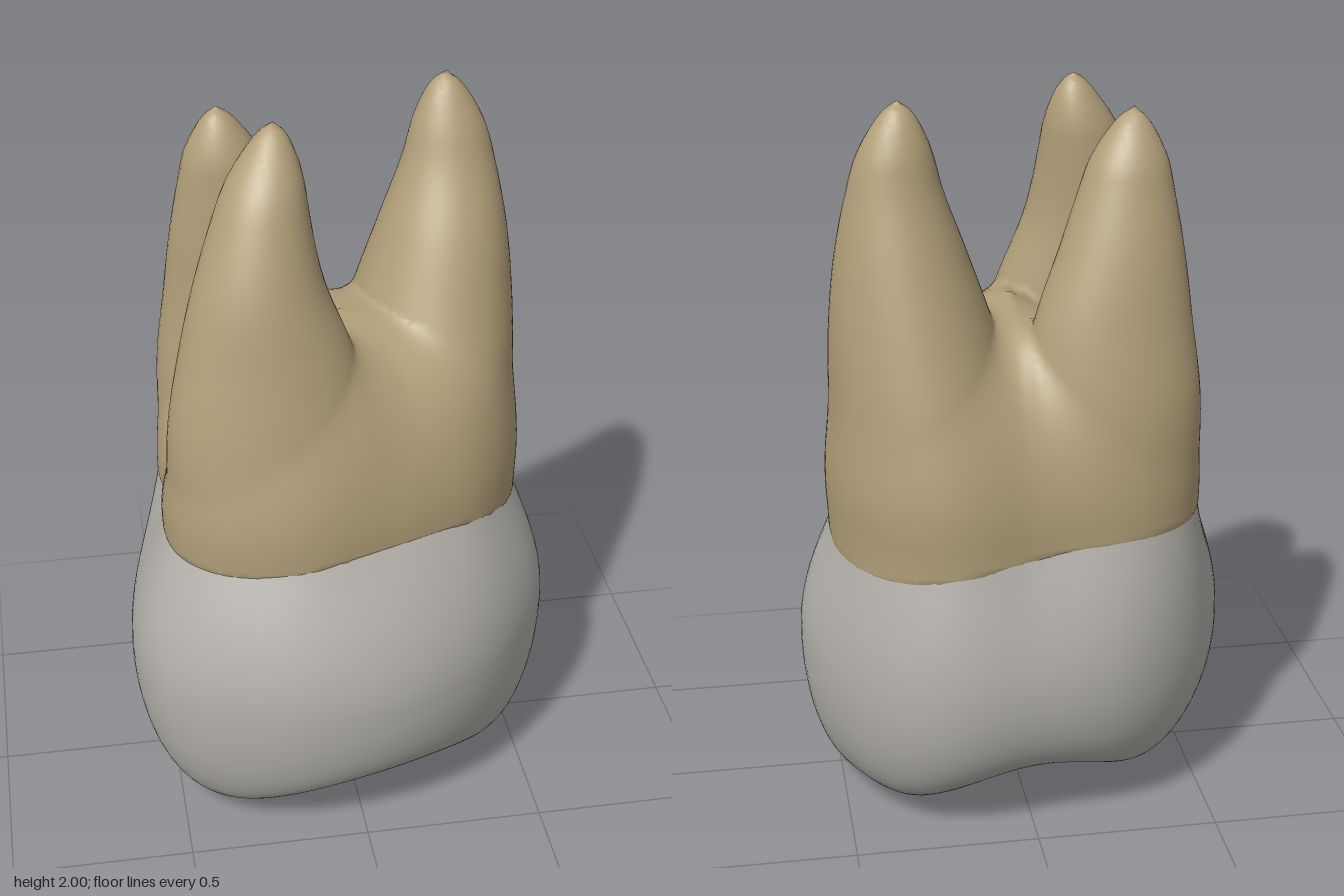
import * as THREE from 'three';

const clamp = THREE.MathUtils.clamp, lerp = THREE.MathUtils.lerp;

// Cubic interpolation through evenly spaced values, open or closed
function cubic(list, t, closed) {
  const n = list.length, i = Math.floor(t), f = t - i;
  const at = k => list[closed ? ((k % n) + n) % n : clamp(k, 0, n - 1)];
  const a = at(i - 1), b = at(i), c = at(i + 1), d = at(i + 2);
  return b + 0.5 * f * (c - a + f * (2 * a - 5 * b + 4 * c - d + f * (3 * (b - c) + d - a)));
}
const around = (list, angle) => cubic(list, angle / (2 * Math.PI) * list.length, true);

// Radii every 30 degrees, from +x towards +z
const WIDEST = [0.602, 0.54, 0.522, 0.545, 0.6, 0.652, 0.605, 0.573, 0.552, 0.54, 0.605, 0.604];
const NECK = [0.51, 0.45, 0.395, 0.405, 0.475, 0.53, 0.515, 0.505, 0.468, 0.472, 0.545, 0.54];
// Height of the line between crown and roots, every 45 degrees
const NECK_LINE = [0.81, 0.875, 0.88, 0.85, 0.86, 0.85, 0.83, 0.785];

// Roots: [x min, x max, z min, z max] at heights 0.8, 1.0 ... 2.0
const ROOTS = [
  { top: 2.0, bounds: [
    [-0.05, 0.5, -0.465, 0.2], [-0.03, 0.515, -0.475, 0.2], [0.01, 0.51, -0.45, 0.18], [0.07, 0.505, -0.4, 0.1],
    [0.14, 0.485, -0.345, 0.02], [0.21, 0.445, -0.29, -0.075], [0.245, 0.39, -0.26, -0.13]] },
  { top: 2.0, bounds: [
    [-0.485, 0.08, -0.06, 0.395], [-0.495, 0.08, -0.05, 0.4], [-0.49, 0.06, -0.01, 0.375], [-0.455, 0.01, 0.0, 0.34],
    [-0.405, -0.065, 0.0, 0.3], [-0.335, -0.1, -0.005, 0.23], [-0.25, -0.115, 0.0, 0.135]] },
  { top: 1.955, bounds: [
    [-0.485, 0.03, -0.4, 0.03], [-0.485, 0.02, -0.405, -0.02], [-0.48, 0.0, -0.4, -0.05], [-0.455, -0.03, -0.37, -0.065],
    [-0.43, -0.1, -0.33, -0.07], [-0.395, -0.17, -0.275, -0.08], [-0.36, -0.24, -0.22, -0.1]] },
];
for (const r of ROOTS) r.columns = [0, 1, 2, 3].map(k => r.bounds.map(b => b[k]));

function rootField(root, x, y, z) {
  const t = clamp((y - 0.8) / 0.2, 0, 5.999);
  const [x0, x1, z0, z1] = root.columns.map(c => cubic(c, t, false));
  const s = clamp((y - root.top + 0.16) / 0.16, 0, 1);
  const tip = Math.sqrt(1 - s * s);
  const a = Math.max(0.01, (x1 - x0) / 2 * tip), b = Math.max(0.01, (z1 - z0) / 2 * tip);
  const q = Math.hypot((x - (x0 + x1) / 2) / a, (z - (z0 + z1) / 2) / b);
  return (q - 1) * Math.min(a, b) + Math.max(0, y - root.top);
}

// Common trunk that carries the roots, domed at the fork and lower towards -x
function trunkField(x, y, z, angle) {
  const top = 1.42 + 0.4 * clamp(x, -0.45, 0);
  const s = clamp((y - 0.9) / (top - 0.9), 0, 1);
  const radius = Math.max(0.01, (around(NECK, angle) - 0.022) * Math.sqrt(1 - s * s));
  return (Math.hypot(x, z) - radius) * 0.8 + Math.max(0, y - top);
}

function blend(a, b, k) {
  const h = Math.max(k - Math.abs(a - b), 0) / k;
  return Math.min(a, b) - h * h * k / 4;
}

// Negative inside the roots; shrinks a little where hidden by the crown
function field(x, y, z) {
  const angle = (Math.atan2(z, x) + 2 * Math.PI) % (2 * Math.PI);
  let f = trunkField(x, y, z, angle);
  for (const root of ROOTS) f = blend(f, rootField(root, x, y, z), 0.08);
  f += 0.35 * Math.max(0, around(NECK_LINE, angle) - y);
  return Math.max(f, 0.7 - y);
}

function gradient(p) {
  const e = 0.006, [x, y, z] = p;
  return [field(x + e, y, z) - field(x - e, y, z), field(x, y + e, z) - field(x, y - e, z),
    field(x, y, z + e) - field(x, y, z - e)].map(v => v / (2 * e));
}

// Skin over the blended roots: one vertex per crossed grid cell, one quad per crossed grid edge
function rootGeometry() {
  const step = 0.02, origin = [-0.6, 0.66, -0.6], size = [61, 71, 61];
  const stride = [1, size[0], size[0] * size[1]];
  const values = new Float32Array(size[0] * size[1] * size[2]);
  const cellVertex = new Map(), positions = [], normals = [], indices = [];
  const each = (from, trim, visit) => {
    for (let k = from; k < size[2] - trim; k++)
      for (let j = from; j < size[1] - trim; j++)
        for (let i = from; i < size[0] - trim; i++) visit([i, j, k], i + j * stride[1] + k * stride[2]);
  };
  each(0, 0, (c, id) => { values[id] = field(...c.map((v, n) => origin[n] + v * step)); });

  each(0, 1, (c, id) => {
    const sum = [0, 0, 0];
    let count = 0;
    for (let corner = 0; corner < 8; corner++) {
      const bits = [corner & 1, (corner >> 1) & 1, corner >> 2];
      const a = id + bits[0] + bits[1] * stride[1] + bits[2] * stride[2];
      for (let d = 0; d < 3; d++) {
        const b = a + stride[d];
        if (bits[d] || (values[a] < 0) === (values[b] < 0)) continue;
        bits.forEach((v, n) => { sum[n] += v + (n === d ? values[a] / (values[a] - values[b]) : 0); });
        count++;
      }
    }
    if (!count) return;
    let p = c.map((v, n) => origin[n] + (v + sum[n] / count) * step);
    let g = gradient(p);
    const length2 = Math.max(0.3, g[0] ** 2 + g[1] ** 2 + g[2] ** 2);
    const move = clamp(field(...p) / length2, -0.008, 0.008);
    p = p.map((v, n) => v - g[n] * move);
    g = gradient(p);
    const length = Math.hypot(...g) || 1;
    cellVertex.set(id, positions.length / 3);
    positions.push(...p);
    normals.push(...g.map(v => v / length));
  });

  each(1, 1, (c, id) => {
    for (let d = 0; d < 3; d++) {
      const inside = values[id] < 0;
      if (inside === (values[id + stride[d]] < 0)) continue;
      const u = stride[(d + 1) % 3], v = stride[(d + 2) % 3];
      const q = [id - u - v, id - v, id, id - u].map(n => cellVertex.get(n));
      if (!inside) q.reverse();
      indices.push(q[0], q[1], q[2], q[0], q[2], q[3]);
    }
  });
  const geometry = new THREE.BufferGeometry();
  geometry.setAttribute('position', new THREE.Float32BufferAttribute(positions, 3));
  geometry.setAttribute('normal', new THREE.Float32BufferAttribute(normals, 3));
  geometry.setIndex(indices);
  return geometry;
}

// Chewing surface: four cusps [x, z, depth, spread] around a central pit
const CUSPS = [[-0.29, 0.2, 0.205, 0.26], [0.37, 0.03, 0.185, 0.3], [-0.28, -0.25, 0.09, 0.2],
  [0.3, -0.32, 0.09, 0.2], [0.0, 0.0, -0.06, 0.15]];
const chewingHeight = (x, z) => CUSPS.reduce(
  (y, [cx, cz, depth, spread]) => y - depth * Math.exp(-((x - cx) ** 2 + (z - cz) ** 2) / spread ** 2), 0.21);

// Radius of the root skin at a given height, by bisection
function skinRadius(angle, y) {
  let low = 0.2, high = 0.75;
  for (let n = 0; n < 24; n++) {
    const r = (low + high) / 2;
    if (field(r * Math.cos(angle), y, r * Math.sin(angle)) < 0) low = r; else high = r;
  }
  return low;
}

// Crown: rings down the wall, round the rim, then inward over the cusps
function crownGeometry() {
  const sides = 120, wall = 16, turn = 14, inner = 24, total = wall + turn + inner;
  const positions = [], indices = [], belly = 0.46;
  const columns = Array.from({ length: sides }, (_, j) => {
    const angle = j / sides * 2 * Math.PI, line = around(NECK_LINE, angle);
    const rim = 0.74 + 0.08 * Math.max(0, Math.sin(angle)) ** 2;
    return { angle, line, rim, neck: skinRadius(angle, line) - 0.003, wide: around(WIDEST, angle) };
  });
  for (let i = 0; i <= total; i++) {
    for (const { angle, line, rim, neck, wide } of columns) {
      const cos = Math.cos(angle), sin = Math.sin(angle);
      let r, y;
      if (i <= wall) {
        const t = i / wall;
        r = lerp(neck, wide, Math.sin(t * Math.PI / 2));
        y = lerp(line + 0.004, belly, t);
      } else if (i <= wall + turn) {
        const a = (i - wall) / turn * Math.PI / 2;
        r = wide * (rim + (1 - rim) * Math.cos(a));
        y = lerp(belly, chewingHeight(wide * rim * cos, wide * rim * sin), Math.sin(a));
      } else {
        r = wide * rim * (total - i) / inner;
        y = chewingHeight(r * cos, r * sin);
      }
      positions.push(r * cos, y, r * sin);
    }
  }
  for (let i = 0; i < total; i++) {
    for (let j = 0; j < sides; j++) {
      const a = i * sides + j, b = i * sides + (j + 1) % sides, c = a + sides, d = b + sides;
      indices.push(a, b, c);
      if (i < total - 1) indices.push(b, d, c);
    }
  }
  const geometry = new THREE.BufferGeometry();
  geometry.setAttribute('position', new THREE.Float32BufferAttribute(positions, 3));
  geometry.setIndex(indices);
  geometry.computeVertexNormals();
  return geometry;
}

export function createModel() {
  const enamel = new THREE.MeshStandardMaterial({ color: 0xb4b1ab });
  enamel.name = 'enamel';
  const cementum = new THREE.MeshStandardMaterial({ color: 0xb3a07a });
  cementum.name = 'cementum';
  const model = new THREE.Group();
  model.name = 'molar';
  for (const [name, geometry, material] of [['crown', crownGeometry(), enamel], ['roots', rootGeometry(), cementum]]) {
    const mesh = new THREE.Mesh(geometry, material);
    mesh.name = name;
    model.add(mesh);
  }
  return model;
}
